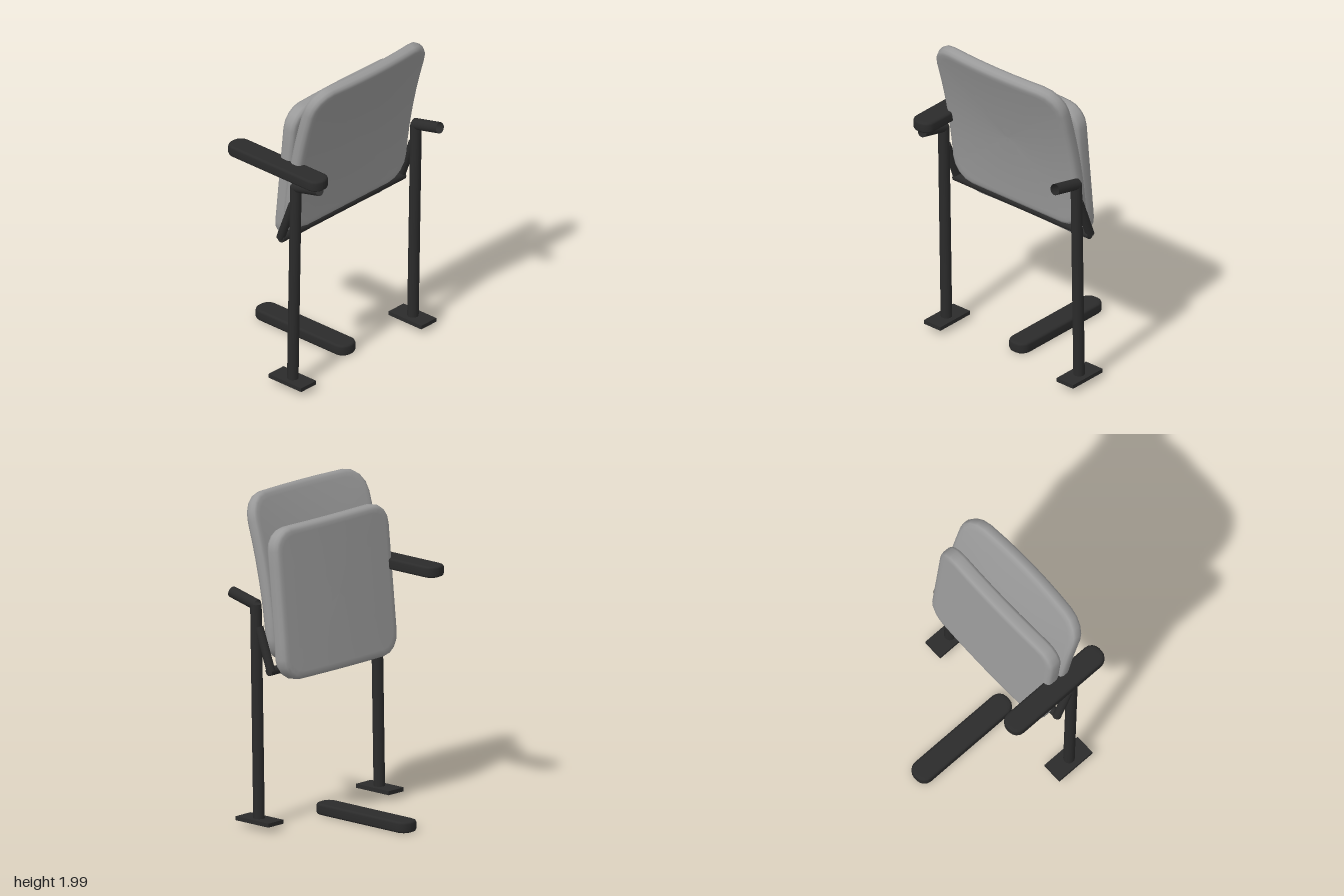
import * as THREE from 'three';

const shell = new THREE.MeshStandardMaterial({ name: 'grey shell', color: 0x9a9a9a });
const dark = new THREE.MeshStandardMaterial({ name: 'dark frame', color: 0x2b2b2b });
const darkOpen = new THREE.MeshStandardMaterial({ name: 'dark frame', color: 0x2b2b2b, side: THREE.DoubleSide });

// Rounded rectangle, counter-clockwise, with subdivided straight edges
function outline(hw, hh, r) {
  const pts = [];
  const corner = (k, a) => {
    const sx = k === 0 || k === 3 ? 1 : -1, sy = k < 2 ? 1 : -1;
    const t = (k + a) * Math.PI / 2;
    return new THREE.Vector2(sx * (hw - r) + r * Math.cos(t), sy * (hh - r) + r * Math.sin(t));
  };
  for (let k = 0; k < 4; k++) {
    for (let i = 0; i <= 4; i++) pts.push(corner(k, i / 4));
    const from = corner(k, 1), to = corner((k + 1) % 4, 0);
    for (let i = 1; i < 6; i++) pts.push(from.clone().lerp(to, i / 6));
  }
  return pts;
}

// Softly bevelled slab made of concentric rings, bent into place by map(u, v, w)
function slab(name, width, height, thick, radius, bevel, material, map) {
  const h = thick / 2;
  const front = [[0, bevel, h], [0.35, bevel, h], [0.7, bevel, h], [0.95, bevel, h],
    [1, bevel, h], [1, bevel * 0.3, h - bevel * 0.3], [1, 0, h - bevel]];
  const rings = [...front, ...front.slice().reverse().map(([s, i, w]) => [s, i, -w])];
  const pos = [], index = [];
  let n = 0;
  for (const [s, inset, w] of rings) {
    const pts = outline(width / 2 - inset, height / 2 - inset, radius - inset);
    n = pts.length;
    for (const p of pts) pos.push(...map(p.x * s, p.y * s, w));
  }
  for (let i = 0; i < rings.length - 1; i++) {
    for (let j = 0; j < n; j++) {
      const k = (j + 1) % n, a = i * n, b = a + n;
      index.push(a + j, b + j, b + k, a + j, b + k, a + k);
    }
  }
  const g = new THREE.BufferGeometry();
  g.setAttribute('position', new THREE.Float32BufferAttribute(pos, 3));
  g.setIndex(index);
  g.computeVertexNormals();
  const mesh = new THREE.Mesh(g, material);
  mesh.name = name;
  return mesh;
}

// Round bar between two points
function rod(name, a, b, r, open = false) {
  const from = new THREE.Vector3(...a), to = new THREE.Vector3(...b);
  const dir = to.clone().sub(from);
  const g = new THREE.CylinderGeometry(r, r, dir.length(), 16, 1, open);
  const mesh = new THREE.Mesh(g, open ? darkOpen : dark);
  mesh.position.copy(from).add(to).multiplyScalar(0.5);
  mesh.quaternion.setFromUnitVectors(new THREE.Vector3(0, 1, 0), dir.normalize());
  mesh.name = name;
  return mesh;
}

// Long flat arm pad lying in the horizontal plane
const pad = (name, x, y, z) => slab(name, 0.142, 0.735, 0.068, 0.06, 0.014, dark,
  (u, v, w) => [x + u, y + w, z - v]);

export function createModel() {
  const chair = new THREE.Group();
  chair.name = 'foldingChair';

  // Curved backrest, sweeping forward toward its top
  chair.add(slab('backrest', 1, 0.995, 0.078, 0.15, 0.025, shell, (u, v, w) => {
    const p = v + 0.5, slope = 0.09 + 0.3 * p, len = Math.hypot(1, slope);
    const z = 0.172 + 0.09 * p + 0.15 * p * p - 0.13 * u * u * p;
    return [u, 0.995 + 0.993 * p - w * slope / len, z + w / len];
  }));

  // Folded seat, standing upright behind the backrest
  chair.add(slab('seat', 0.98, 0.905, 0.092, 0.13, 0.025, shell, (u, v, w) =>
    [u, 1.355 + v - w * 0.1, 0.128 + v * 0.1 + w + 0.06 * u * u]));

  // Side frames
  for (const side of [-1, 1]) {
    const x = side * 0.52;
    const frame = new THREE.Group();
    frame.name = side > 0 ? 'leftFrame' : 'rightFrame';
    frame.add(rod('post', [x, 0.05, 0.245], [x, 1.355, 0.27], 0.034));
    frame.add(rod('armTube', [x, 1.35, 0.262], [x, 1.396, 0.46], 0.034, true));
    frame.add(rod('seatLink', [x, 1.22, 0.245], [x, 0.965, 0.148], 0.026));
    const foot = new THREE.Mesh(new THREE.BoxGeometry(0.13, 0.024, 0.262), dark);
    foot.position.set(x, 0.05, 0.241);
    foot.name = 'footPlate';
    frame.add(foot);
    chair.add(frame);
  }
  chair.add(rod('crossBar', [-0.53, 0.965, 0.157], [0.53, 0.965, 0.157], 0.026));

  // One arm pad mounted, the other lying loose on the floor
  chair.add(pad('armPad', -0.52, 1.442, 0.128));
  chair.add(pad('loosePad', 0, 0.038, -0.133));
  return chair;
}
